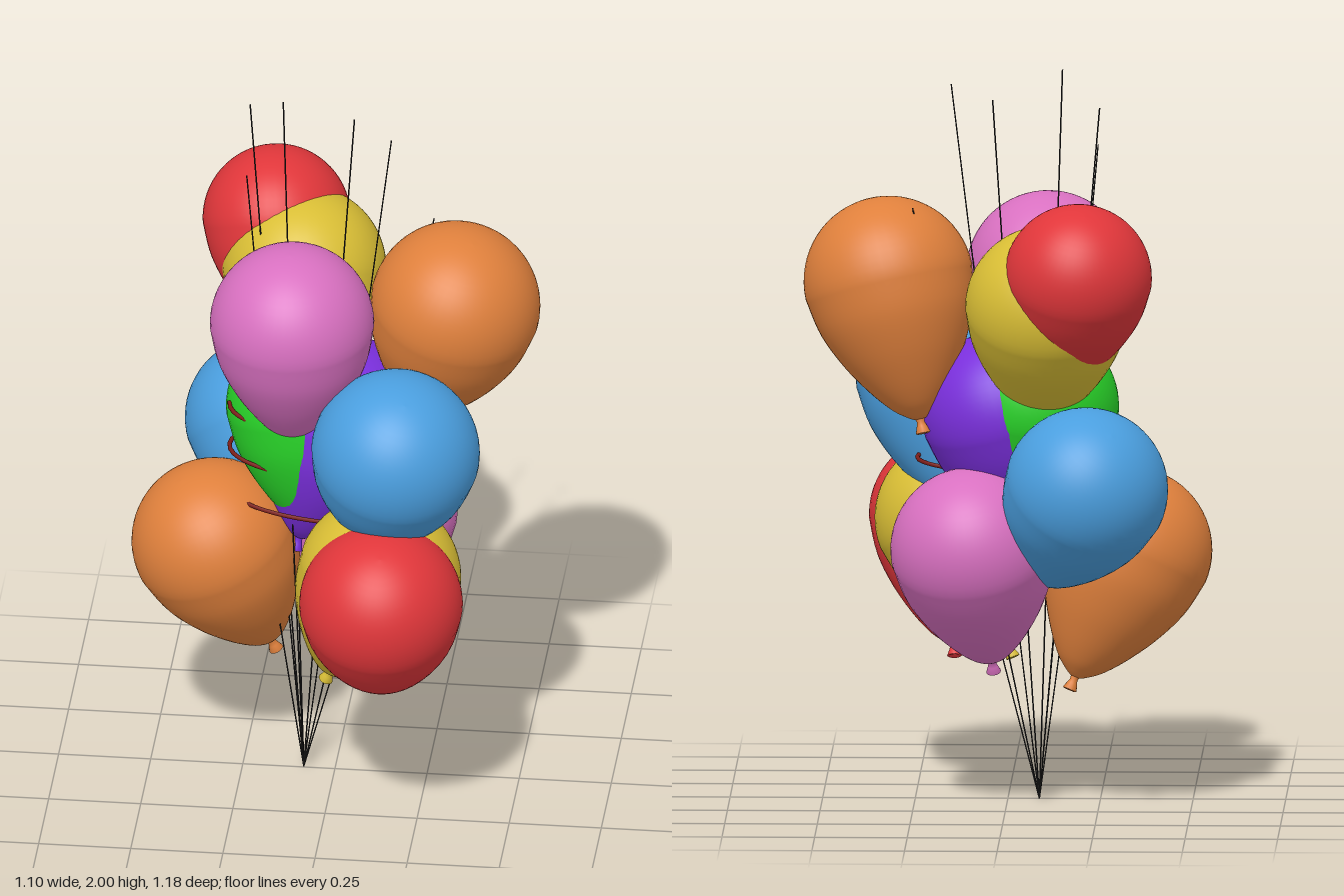
import * as THREE from 'three';

const RED = 0xe0363a, YELLOW = 0xd9be35, PINK = 0xd870c0, ORANGE = 0xdf803c;
const BLUE = 0x4a9ede, GREEN = 0x28d028, PURPLE = 0x7a2fdc;

// name, colour, radius, centre of the round end, point the knot aims at
const BALLOONS = [
  ['redTopBalloon', RED, 0.2, [-0.2, 1.475, -0.388], [-0.16, 1.15, -0.23]],
  ['yellowTopBalloon', YELLOW, 0.222, [-0.115, 1.38, -0.29], [-0.1, 1.05, -0.11]],
  ['pinkTopBalloon', PINK, 0.222, [-0.106, 1.42, 0.095], [-0.1, 1.03, 0.06]],
  ['orangeTopBalloon', ORANGE, 0.23, [0.32, 1.417, -0.058], [0.23, 1.04, -0.14]],
  ['blueFrontBalloon', BLUE, 0.228, [0.19, 1.118, 0.238], [0.13, 0.78, 0.07]],
  ['greenBalloon', GREEN, 0.222, [-0.08, 1.08, -0.07], [-0.03, 0.72, 0.01]],
  ['purpleBalloon', PURPLE, 0.222, [0.01, 1.06, -0.055], [-0.1, 0.7, 0]],
  ['blueBackBalloon', BLUE, 0.222, [-0.22, 0.89, -0.33], [-0.1, 0.62, -0.12]],
  ['orangeLowBalloon', ORANGE, 0.224, [-0.328, 0.68, -0.01], [-0.18, 0.335, -0.085]],
  ['pinkLowBalloon', PINK, 0.222, [0.09, 0.705, -0.185], [0.042, 0.37, -0.015]],
  ['yellowLowBalloon', YELLOW, 0.222, [0.145, 0.73, 0.235], [0.02, 0.43, 0.17]],
  ['redLowBalloon', RED, 0.221, [0.165, 0.72, 0.367], [0.15, 0.375, 0.185]],
];

// upper ends of the strings, which all start at one point
const ANCHOR = new THREE.Vector3(-0.085, 0, -0.004);
const STRING_ENDS = [
  [-0.254, 1.915, -0.22], [-0.15, 2, -0.09], [0.037, 1.925, -0.148],
  [0.153, 1.947, -0.005], [-0.245, 1.79, -0.05], [0.253, 1.63, -0.153],
  [-0.2, 0.85, 0.05], [0.18, 1, 0.09], [0.1, 0.9, -0.1], [-0.12, 1.2, 0.1],
];

// teardrop profile of unit radius, from the tied end to the crown
function balloonGeometry() {
  const body = [
    [0.05, -1.67], [0.14, -1.62], [0.3, -1.49], [0.51, -1.23], [0.74, -0.86],
    [0.92, -0.44], [1, 0],
  ].map(([x, y]) => new THREE.Vector2(x, y));
  const profile = new THREE.SplineCurve(body).getPoints(28);
  for (let i = 1; i <= 16; i++) {
    const a = (i / 16) * Math.PI / 2;
    profile.push(new THREE.Vector2(i === 16 ? 0 : Math.cos(a), Math.sin(a)));
  }
  return new THREE.LatheGeometry(profile, 48);
}

// flared rubber lip below the tied neck
function knotGeometry() {
  const lip = [[0, -1.79], [0.07, -1.84], [0.09, -1.83], [0.06, -1.75], [0.045, -1.7], [0.06, -1.65]];
  return new THREE.LatheGeometry(lip.map(([x, y]) => new THREE.Vector2(x, y)), 16);
}

// coiled ribbon wound round the middle of the bunch
class Coil extends THREE.Curve {
  getPoint(t, target = new THREE.Vector3()) {
    const a = t * Math.PI * 2 * 2.5;
    return target.set(-0.02 + 0.265 * Math.cos(a), 0.8 + 0.32 * t, 0.01 + 0.12 * Math.sin(a));
  }
}

export function createModel() {
  const model = new THREE.Group();
  model.name = 'balloonBunch';
  const bodyGeo = balloonGeometry();
  const knotGeo = knotGeometry();
  const up = new THREE.Vector3(0, 1, 0);

  // balloons
  for (const [name, color, radius, centre, tip] of BALLOONS) {
    const balloon = new THREE.Group();
    balloon.name = name;
    const material = new THREE.MeshStandardMaterial({ color });
    const body = new THREE.Mesh(bodyGeo, material);
    body.name = 'body';
    const knot = new THREE.Mesh(knotGeo, material);
    knot.name = 'knot';
    balloon.add(body, knot);
    balloon.position.set(...centre);
    const axis = balloon.position.clone().sub(new THREE.Vector3(...tip)).normalize();
    balloon.quaternion.setFromUnitVectors(up, axis);
    balloon.scale.setScalar(radius);
    model.add(balloon);
  }

  // strings
  const strings = new THREE.Group();
  strings.name = 'strings';
  const stringMat = new THREE.MeshStandardMaterial({ color: 0x222222 });
  for (const end of STRING_ENDS) {
    const path = new THREE.LineCurve3(ANCHOR, new THREE.Vector3(...end));
    const string = new THREE.Mesh(new THREE.TubeGeometry(path, 1, 0.002, 6), stringMat);
    string.name = 'string';
    strings.add(string);
  }
  model.add(strings);

  // ribbon
  const ribbon = new THREE.Mesh(
    new THREE.TubeGeometry(new Coil(), 140, 0.006, 8),
    new THREE.MeshStandardMaterial({ color: 0x7a1c18 }),
  );
  ribbon.name = 'ribbon';
  model.add(ribbon);

  return model;
}
